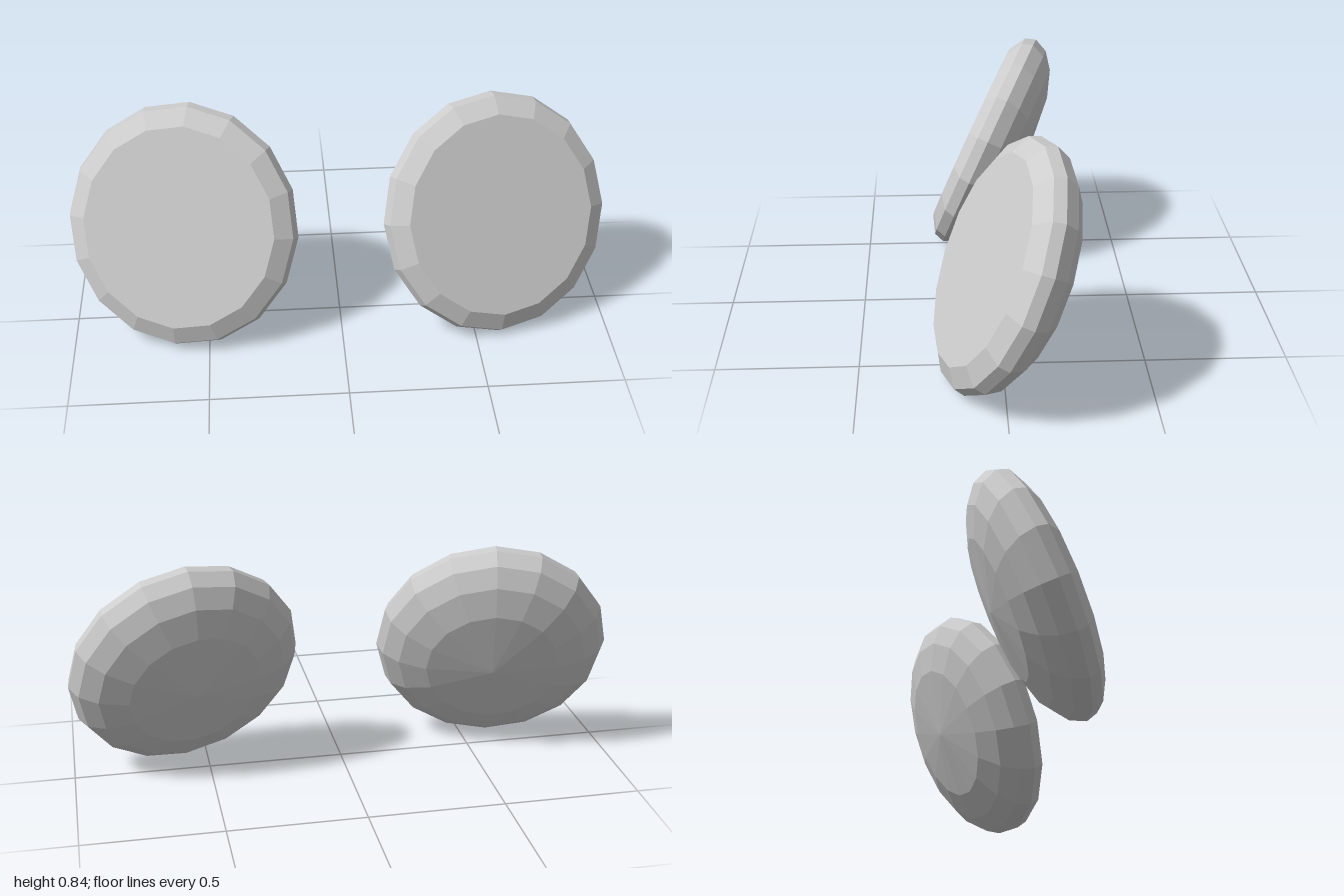
import * as THREE from 'three';

export function createModel() {
  const model = new THREE.Group();
  const paleGrey = new THREE.MeshStandardMaterial({ color: 0xcccccc, flatShading: true });
  paleGrey.name = 'paleGrey';

  // Radius and height along the disc's axis, from the domed back to the flat front
  const profile = [
    [0, -0.165], [0.26, -0.14], [0.367, -0.103], [0.43, -0.055],
    [0.455, 0], [0.442, 0.042], [0.375, 0.081], [0, 0.081],
  ].map(([r, h]) => new THREE.Vector2(r, h));

  // Disc facing +z, spun slightly about its axis and a little narrower than tall
  function addDisc(name, side, spin) {
    const geometry = new THREE.LatheGeometry(profile, 16);
    geometry.rotateX(Math.PI / 2);
    geometry.rotateZ(THREE.MathUtils.degToRad(spin));
    geometry.scale(0.945, 1, 1);
    const disc = new THREE.Mesh(geometry, paleGrey);
    disc.name = name;
    // Leaned back and turned outward
    disc.rotation.set(THREE.MathUtils.degToRad(-23.5), side * THREE.MathUtils.degToRad(11), 0);
    disc.position.set(side * 0.577, 0.419, 0.004);
    model.add(disc);
  }

  addDisc('leftDisc', 1, 1.5);
  addDisc('rightDisc', -1, -6);
  return model;
}
